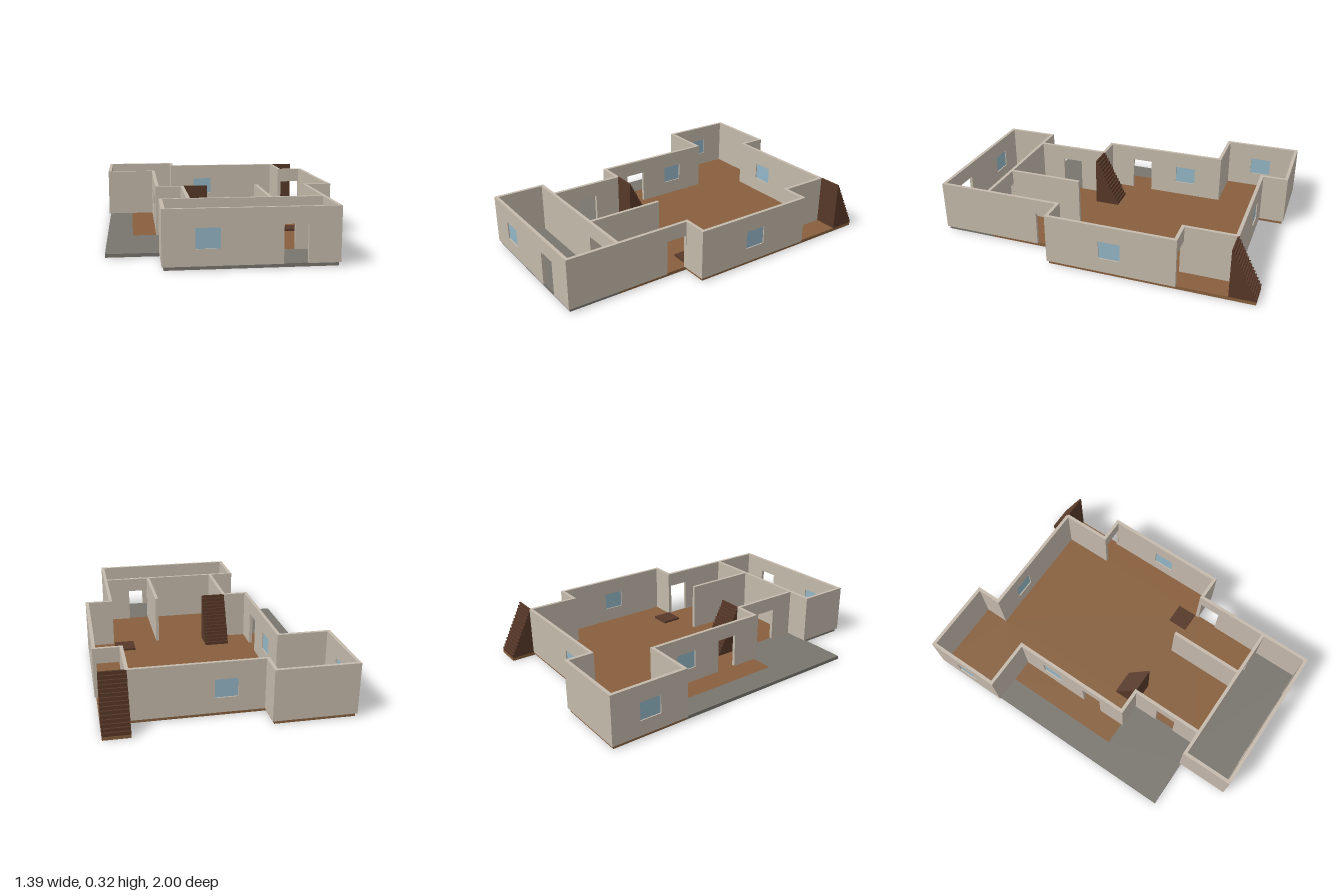
import * as THREE from 'three';

const U = 0.1523;            // plan grid module
const T = 0.02;              // wall and floor thickness
const WALL_H = 0.3;
const DOOR = { w: 0.13, h: 0.21 };
const WIN = { w: 0.13, lo: 0.09, hi: 0.2 }; // heights above the floor

const material = (name, color) => {
  const m = new THREE.MeshStandardMaterial({ color });
  m.name = name;
  return m;
};

export function createModel() {
  const model = new THREE.Group();
  model.name = 'housePlan';
  const wallMat = material('plaster', 0xc4b9ab);
  const woodMat = material('woodFloor', 0x875f3d);
  const stoneMat = material('stonePaving', 0x78756e);
  const darkMat = material('darkWood', 0x573828);
  const glassMat = material('windowGlass', 0x93b6c6);

  const add = (parent, name, geometry, mat) => {
    const mesh = new THREE.Mesh(geometry, mat);
    mesh.name = name;
    parent.add(mesh);
    return mesh;
  };
  const polygon = (pts) => pts.map(([x, y]) => new THREE.Vector2(x, y));
  const extrude = (shape, depth) => new THREE.ExtrudeGeometry(shape, { depth, bevelEnabled: false });

  // Floor slab from a plan outline in grid modules
  const slab = (name, pts, mat) => {
    const shape = new THREE.Shape(polygon(pts.map(([x, z]) => [x * U, z * U])));
    add(model, name, extrude(shape, T).rotateX(Math.PI / 2).translate(0, T, 0), mat);
  };
  slab('woodFloor', [
    [-4.5, -6.5], [-1.5, -6.5], [-1.5, -5.5], [3.5, -5.5], [3.5, -6.5], [4.5, -6.5], [4.5, 1.5],
    [3.5, 1.5], [3.5, 4.5], [-1.5, 4.5], [-1.5, 1.5], [-3.5, 1.5], [-3.5, -3.5], [-4.5, -3.5],
  ], woodMat);
  slab('stonePatio', [
    [-4.5, -3.5], [-3.5, -3.5], [-3.5, 1.5], [-1.5, 1.5], [-1.5, 4.5],
    [3.5, 4.5], [3.5, 6.5], [-2.5, 6.5], [-2.5, 4.5], [-4.5, 4.5],
  ], stoneMat);

  // Straight wall; doors and windows are given as distances from its start, in modules
  const wall = (name, [x1, z1], [x2, z2], { doors = [], windows = [] } = {}) => {
    const group = new THREE.Group();
    group.name = name;
    const len = Math.hypot(x2 - x1, z2 - z1) * U;
    const outline = [[-T / 2, 0]];
    for (const d of doors) {
      const a = d * U - DOOR.w / 2, b = d * U + DOOR.w / 2;
      outline.push([a, 0], [a, DOOR.h], [b, DOOR.h], [b, 0]);
    }
    outline.push([len + T / 2, 0], [len + T / 2, WALL_H], [-T / 2, WALL_H]);
    const shape = new THREE.Shape(polygon(outline));
    for (const w of windows) {
      const a = w * U - WIN.w / 2, b = w * U + WIN.w / 2;
      shape.holes.push(new THREE.Path(polygon([[a, WIN.lo], [a, WIN.hi], [b, WIN.hi], [b, WIN.lo]])));
      const pane = new THREE.BoxGeometry(WIN.w, WIN.hi - WIN.lo, 0.006);
      add(group, 'windowPane', pane.translate(w * U, (WIN.lo + WIN.hi) / 2, 0), glassMat);
    }
    add(group, 'wallPanel', extrude(shape, T).translate(0, 0, -T / 2), wallMat);
    group.position.set(x1 * U, T, z1 * U);
    group.rotation.y = -Math.atan2(z2 - z1, x2 - x1);
    model.add(group);
  };

  // Outer walls, clockwise from the back corner
  wall('backRoomBackWall', [-4.5, -6.5], [-1.5, -6.5]);
  wall('backRoomInnerSide', [-1.5, -6.5], [-1.5, -5.5]);
  wall('backWall', [-1.5, -5.5], [3.5, -5.5], { windows: [1.5] });
  wall('stairSideWall', [3.5, -5.5], [3.5, -3.5]);
  wall('stairDoorWall', [3.5, -3.5], [4.5, -3.5], { doors: [0.5] });
  wall('leftWall', [4.5, -3.5], [4.5, 1.5], { windows: [2.5] });
  wall('leftReturnWall', [4.5, 1.5], [3.5, 1.5]);
  wall('leftFrontWall', [3.5, 1.5], [3.5, 6.5], { doors: [0.5] });
  wall('frontWall', [-2.5, 6.5], [3.5, 6.5], { doors: [4.5], windows: [1.5] });
  wall('frontRoomSideWall', [-2.5, 4.5], [-2.5, 6.5]);
  wall('frontRoomBackWall', [-2.5, 4.5], [3.5, 4.5], { doors: [4.5] });
  wall('hallSideWall', [-1.5, 1.5], [-1.5, 4.5], { doors: [1.5] });
  wall('rightReturnWall', [-2.5, 1.5], [-1.5, 1.5]);
  wall('rightWall', [-2.5, -3.5], [-2.5, 1.5], { doors: [3.5], windows: [1.5] });
  wall('backRoomFrontWall', [-4.5, -3.5], [-2.5, -3.5]);
  wall('backRoomSideWall', [-4.5, -6.5], [-4.5, -3.5], { windows: [1.5] });
  wall('partitionWall', [1.5, 1.5], [1.5, 4.5]);

  // Solid stairs rising towards the front
  const STEPS = 15;
  const stairs = (name, x, z) => {
    const pts = [[0, 0]];
    for (let i = 0; i < STEPS; i++) {
      const y = ((i + 1) / STEPS) * WALL_H;
      pts.push([(i / STEPS) * U, y], [((i + 1) / STEPS) * U, y]);
    }
    pts.push([U, 0]);
    const geo = extrude(new THREE.Shape(polygon(pts)), U).rotateY(-Math.PI / 2);
    add(model, name, geo, darkMat).position.set((x + 1) * U, T, z * U);
  };
  stairs('outdoorStairs', 3.5, -6.5);
  stairs('indoorStairs', -1.5, 0.5);

  // Floor hatch
  add(model, 'floorHatch', new THREE.BoxGeometry(0.125, 0.012, 0.125), darkMat)
    .position.set(3 * U, T + 0.006, U);

  return model;
}
